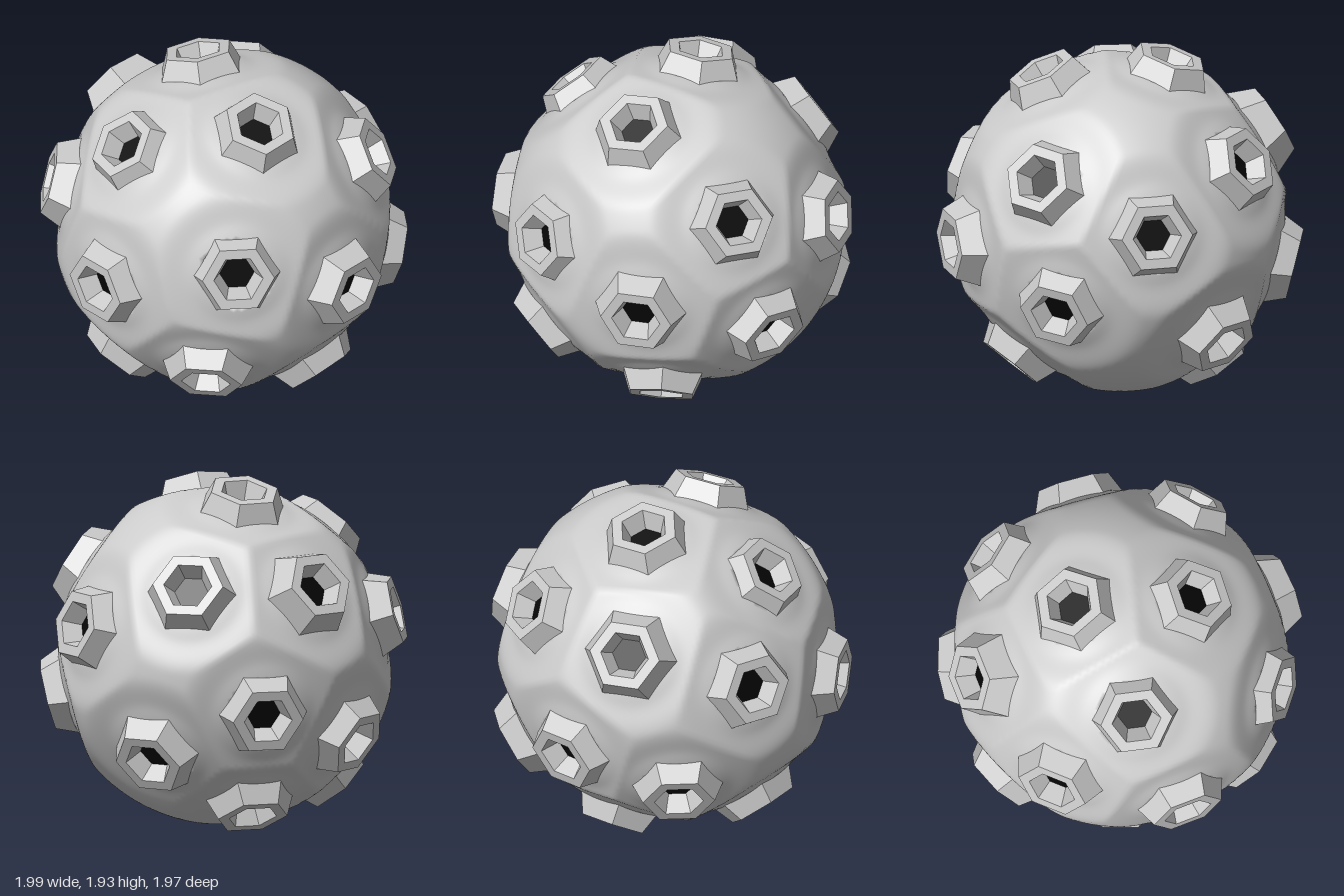
import * as THREE from 'three';
import { mergeVertices } from 'three/addons/utils/BufferGeometryUtils.js';

const CENTRE_Y = 0.94;
const RIM = 0.982;

// Crater directions (x, y, z), roll of each hexagon in degrees, rim height
const CRATERS = [
  [0.01, -0.01, 1, 0, 0.995], [-0.63, 0.235, 0.72, 0, 0.96], [0.52, 0.51, 0.68, -5],
  [0.69, -0.23, 0.63, -8], [0.075, -0.71, 0.66, 25], [-0.66, -0.52, 0.5, 0],
  [0.94, 0.24, 0.13, 0], [-0.14, 0.89, 0.41, 15], [-0.98, 0, -0.03, 0],
  [0.68, 0.51, -0.51, 0], [0.8, -0.49, -0.32, 0, 0.995], [0.41, -0.23, -0.88, 0],
  [0.2, -0.82, -0.49, 0], [0.045, 0.49, -0.88, 0, 1.01], [0.08, 0.96, -0.28, 0],
  [-0.63, 0.72, -0.18, 0, 0.96], [-0.66, 0.26, -0.7, 0, 0.99], [-0.26, -0.43, -0.88, 0],
  [-0.57, -0.73, -0.25, 0],
].map(([x, y, z, roll, rim = RIM]) => ({
  dir: new THREE.Vector3(x, y, z).normalize(),
  roll: THREE.MathUtils.degToRad(roll),
  lift: rim - RIM,
}));

// Ball radius by angle from the nearest crater: open pit, shallow dip, full ball
function bodyRadius(direction) {
  const angle = Math.min(...CRATERS.map(({ dir }) => dir.angleTo(direction)));
  if (angle < 0.2) return 0.82;
  return THREE.MathUtils.lerp(0.9, 0.937, THREE.MathUtils.smoothstep(angle, 0.3, 0.52));
}

function makeBody(material) {
  const source = new THREE.IcosahedronGeometry(1, 40);
  source.deleteAttribute('uv');
  source.deleteAttribute('normal');
  const geometry = mergeVertices(source);
  const pos = geometry.attributes.position;
  const v = new THREE.Vector3();
  for (let i = 0; i < pos.count; i++) {
    v.fromBufferAttribute(pos, i).normalize();
    v.multiplyScalar(bodyRadius(v));
    pos.setXYZ(i, v.x, v.y, v.z);
  }
  geometry.computeVertexNormals();
  const body = new THREE.Mesh(geometry, material);
  body.name = 'body';
  return body;
}

function hexLathe(points) {
  return new THREE.LatheGeometry(points.map(([r, h]) => new THREE.Vector2(r, h)), 6);
}

export function createModel() {
  const model = new THREE.Group();
  model.name = 'crateredBall';
  const grey = new THREE.MeshStandardMaterial({ color: 0xcccccc });
  const greyFlat = new THREE.MeshStandardMaterial({ color: 0xcccccc, flatShading: true });
  const black = new THREE.MeshStandardMaterial({ color: 0x050505 });

  const ball = new THREE.Group();
  ball.name = 'ball';
  ball.position.y = CENTRE_Y;
  ball.add(makeBody(grey));
  model.add(ball);

  // Hexagonal collar: sloped outside, flat rim, tapering pit
  const collarGeometry = hexLathe([[0.262, 0.83], [0.197, RIM], [0.135, RIM], [0.095, 0.875]]);
  const floorGeometry = hexLathe([[0.095, 0.875], [0, 0.875]]);
  const up = new THREE.Vector3(0, 1, 0);

  CRATERS.forEach(({ dir, roll, lift }) => {
    const side = up.clone().cross(dir).normalize();
    const basis = new THREE.Matrix4().makeBasis(dir.clone().cross(side), dir, side);

    const crater = new THREE.Group();
    crater.name = 'crater';
    crater.quaternion.setFromRotationMatrix(basis);
    crater.rotateY(roll);
    crater.position.copy(dir).multiplyScalar(lift);

    const collar = new THREE.Mesh(collarGeometry, greyFlat);
    collar.name = 'craterCollar';
    const floor = new THREE.Mesh(floorGeometry, black);
    floor.name = 'craterFloor';
    crater.add(collar, floor);
    ball.add(crater);
  });

  return model;
}
